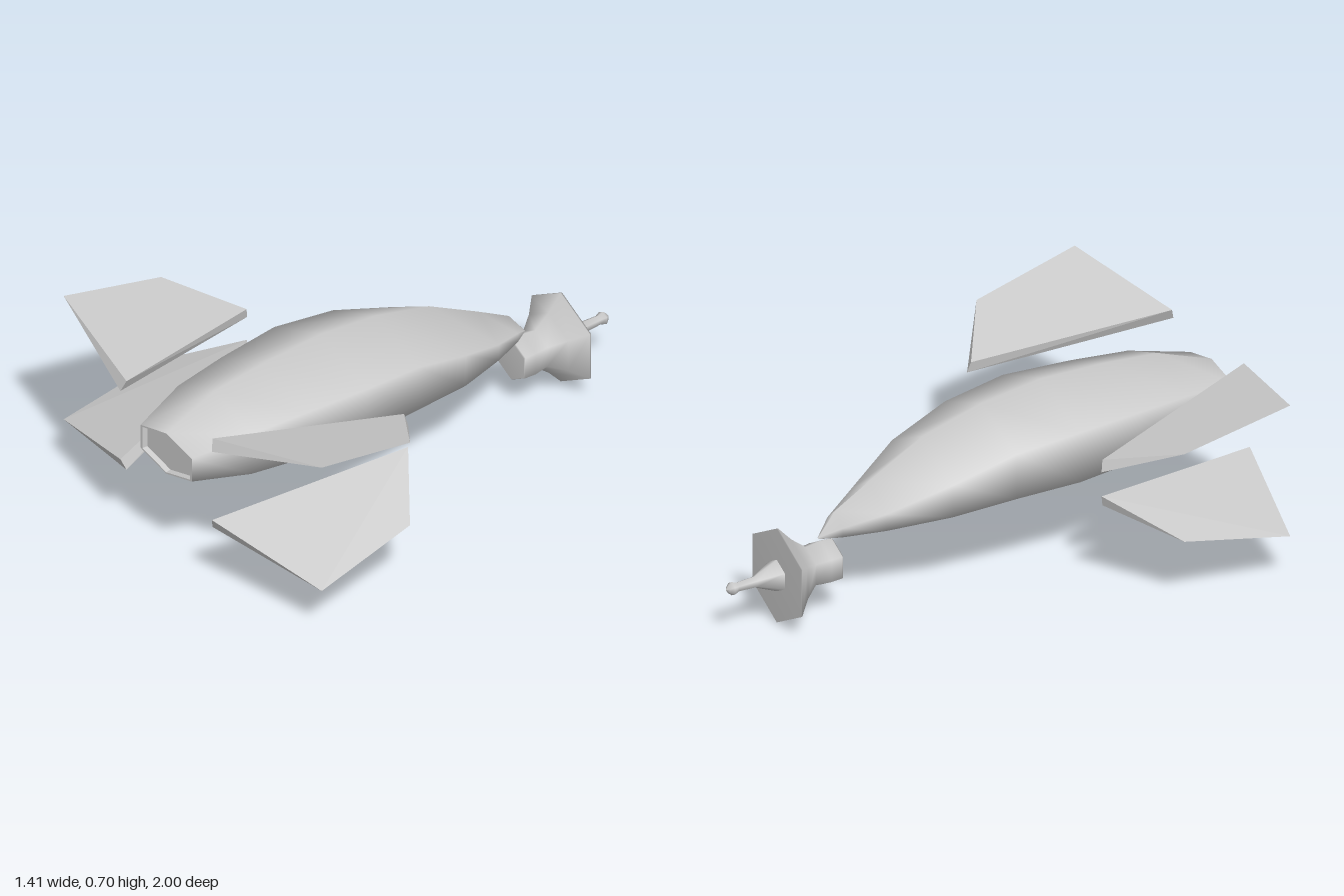
import * as THREE from 'three';
import { ConvexGeometry } from 'three/addons/geometries/ConvexGeometry.js';

const grey = new THREE.MeshStandardMaterial({ color: 0xcccccc });
const flat = new THREE.MeshStandardMaterial({ color: 0xcccccc, flatShading: true });

// Skin a row of six-sided sections: [z, half width, top, side top, side bottom, bottom]
function loft(sections) {
  const pos = [], index = [];
  sections.forEach(([z, w, top, st, sb, bot]) =>
    pos.push(0, top, z, -w, st, z, -w, sb, z, 0, bot, z, w, sb, z, w, st, z));
  for (let i = 0; i < sections.length - 1; i++) {
    for (let j = 0; j < 6; j++) {
      const a = i * 6 + j, b = i * 6 + (j + 1) % 6;
      index.push(a, a + 6, b, b, a + 6, b + 6);
    }
  }
  const geo = new THREE.BufferGeometry();
  geo.setAttribute('position', new THREE.Float32BufferAttribute(pos, 3));
  geo.setIndex(index);
  geo.computeVertexNormals();
  return geo;
}

function add(group, name, geo, mat) {
  const mesh = new THREE.Mesh(geo, mat);
  mesh.name = name;
  group.add(mesh);
}

export function createModel() {
  const model = new THREE.Group();

  // Hexagonal hull, drooping towards the rear point
  const hull = [
    [1.0, 0.14, 0.54, 0.505, 0.41, 0.372],
    [0.78, 0.2, 0.625, 0.545, 0.38, 0.305],
    [0.56, 0.23, 0.648, 0.555, 0.37, 0.282],
    [0.3, 0.255, 0.66, 0.56, 0.365, 0.27],
    [0.05, 0.235, 0.632, 0.535, 0.36, 0.267],
    [-0.19, 0.2, 0.57, 0.465, 0.34, 0.272],
    [-0.41, 0.115, 0.455, 0.375, 0.31, 0.284],
    [-0.55, 0.05, 0.378, 0.33, 0.295, 0.286],
    [-0.62, 0.004, 0.29, 0.288, 0.287, 0.286],
  ];
  add(model, 'hull', loft(hull), grey);

  // Shallow recessed plate closing the open end of the hull
  const mid = 0.455;
  const scaled = (k, z) => [z, hull[0][1] * k, ...hull[0].slice(2).map((y) => mid + (y - mid) * k)];
  add(model, 'endPlate', loft([scaled(0, 0.98), scaled(0.9, 0.98), scaled(0.93, 1), scaled(1, 1)]), flat);

  // Six-sided flared pod under the rear point, and its spike
  const turned = (points) => new THREE.LatheGeometry(points.map(([r, z]) => new THREE.Vector2(r, z)), 6)
    .rotateX(Math.PI / 2).translate(0, 0.19, 0);
  add(model, 'flaredPod', turned([
    [0, -0.79], [0.185, -0.79], [0.184, -0.785], [0.125, -0.73], [0.078, -0.67],
    [0.086, -0.61], [0.084, -0.565], [0.08, -0.56], [0, -0.56],
  ]), grey);
  add(model, 'spike', turned([
    [0, -1], [0.014, -0.99], [0.026, -0.975], [0.018, -0.955], [0.022, -0.88], [0.062, -0.79],
  ]), grey);

  // Four wedge fins: thick at the root, sharp at the outer edge
  const fin = [
    [0.25, 0.59, 1], [0.44, 0.495, 0.27],
    [0.235, 0.632, 0.985], [0.43, 0.537, 0.28],
    [0.68, 0.62, 0.46], [0.705, 0.705, 0.88],
  ];
  for (const side of [1, -1]) {
    for (const upper of [true, false]) {
      const points = fin.map(([x, y, z]) => new THREE.Vector3(side * x, upper ? y : 0.895 - y, z));
      const name = (upper ? 'upper' : 'lower') + (side > 0 ? 'Left' : 'Right') + 'Fin';
      add(model, name, new ConvexGeometry(points), flat);
    }
  }
  return model;
}
